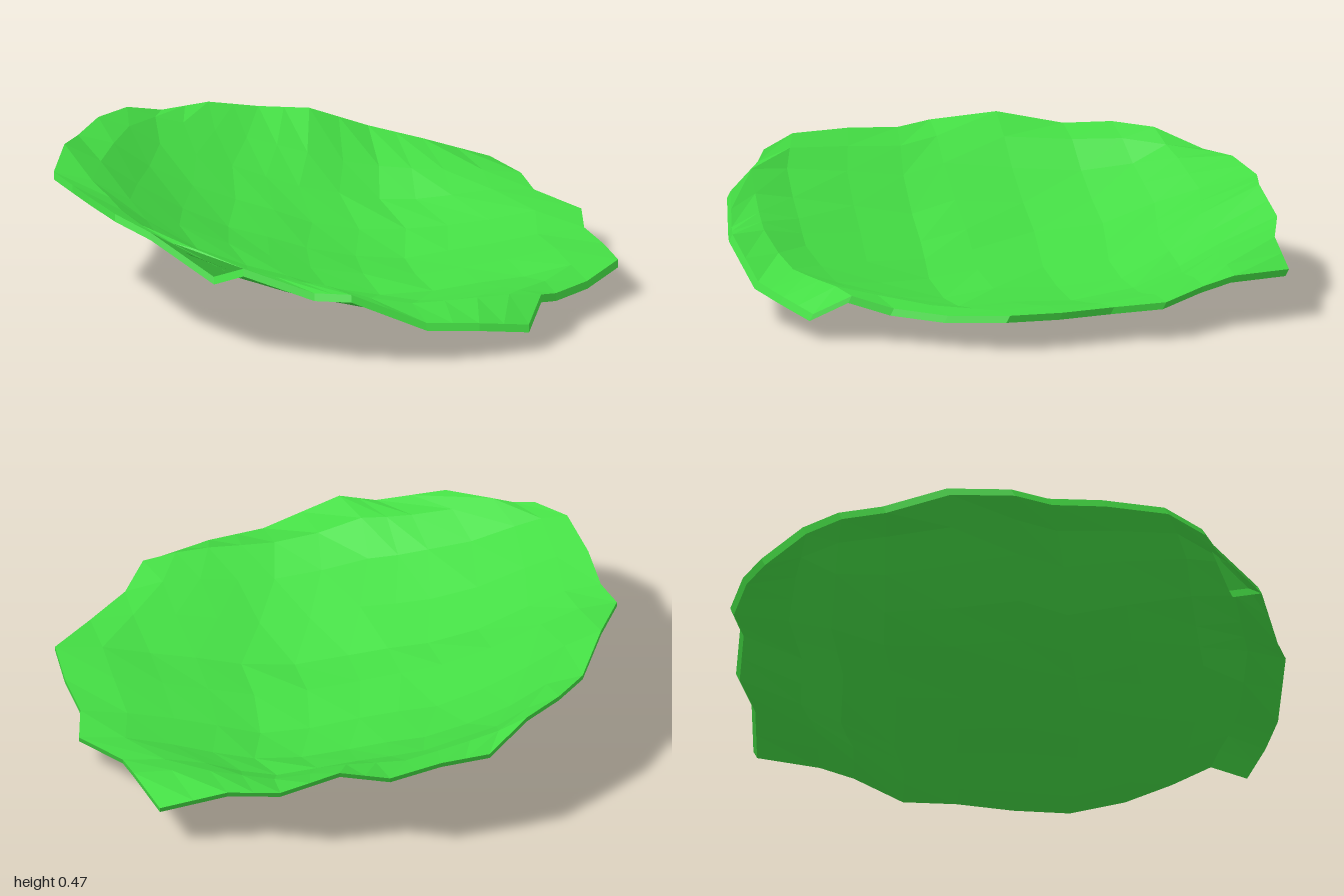
import * as THREE from 'three';

// Rim of the leaf as [x, y, z]: sides run back to front, ends run left to right
const back = [[-.57, .39, -.87], [-.4, .395, -.94], [-.22, .36, -.99], [-.04, .36, -.96], [.17, .285, -.98], [.36, .25, -.93], [.6, .18, -.93]];
const front = [[-.47, .29, .79], [-.37, .35, .89], [-.12, .27, .94], [.01, .27, .965], [.28, .15, .93], [.47, .13, .88], [.65, .1, .81]];
const left = [back[0], [-.7, .45, -.72], [-.81, .455, -.59], [-.89, .44, -.43], [-.95, .48, -.2], [-1, .45, .03],
  [-.94, .44, .16], [-.89, .455, .35], [-.81, .46, .57], [-.69, .43, .7], front[0]];
const right = [back[6], [.7, .185, -.71], [.74, .16, -.59], [.9, .14, -.42], [.9, .13, -.23], [.96, .13, -.03],
  [1, .135, .17], [.88, .12, .37], [.76, .13, .54], [.7, .17, .68], front[6]];

// Lengthwise and crosswise sag of the bowl, as [position, height]
const sagX = [[-1, .45], [-.78, .365], [-.6, .255], [-.5, .21], [-.32, .145], [-.1, .085], [.1, .042], [.2, .027], [.37, .045], [.66, .085], [1, .13]];
const sagZ = [[-1, .24], [-.8, .16], [-.65, .1], [-.45, .035], [-.22, 0], [0, .008], [.25, 0], [.54, .07], [.7, .11], [1, .2]];

function lookup(table, p) {
  let i = 0;
  while (i < table.length - 2 && p > table[i + 1][0]) i++;
  const [a, b] = [table[i], table[i + 1]];
  return THREE.MathUtils.lerp(a[1], b[1], (p - a[0]) / (b[0] - a[0]));
}
const bowl = (x, z) => lookup(sagX, x) + lookup(sagZ, z);

// Point at t (0..1) along a rim line
function along(line, t) {
  const s = t * (line.length - 1);
  const i = Math.min(Math.floor(s), line.length - 2);
  return new THREE.Vector3(...line[i]).lerp(new THREE.Vector3(...line[i + 1]), s - i);
}

// Blend the four rim lines; heights carry only the difference from the bowl
function surfacePoint(u, v) {
  const rim = (line, t) => {
    const p = along(line, t);
    p.y -= bowl(p.x, p.z);
    return p;
  };
  const p = new THREE.Vector3();
  p.addScaledVector(rim(left, v), 1 - u).addScaledVector(rim(right, v), u);
  p.addScaledVector(rim(back, u), 1 - v).addScaledVector(rim(front, u), v);
  p.addScaledVector(rim(back, 0), -(1 - u) * (1 - v)).addScaledVector(rim(back, 1), -u * (1 - v));
  p.addScaledVector(rim(front, 0), -(1 - u) * v).addScaledVector(rim(front, 1), -u * v);
  const edge = Math.max(Math.abs(2 * u - 1), Math.abs(2 * v - 1));
  p.y = p.y * edge ** 5 + bowl(p.x, p.z);
  // Gentle crumple inside the rim
  if (edge < 0.999) p.y += 0.005 * Math.sin(u * 31 + v * 17) * Math.cos(v * 23 - u * 9);
  p.y = Math.max(p.y, 0.025);
  return p;
}

function leafGeometry(cols, rows) {
  const offset = new THREE.Vector3(0, -0.025, 0.013);
  const top = [], bottom = [], positions = [];
  for (let i = 0; i <= rows; i++) {
    top.push([]);
    bottom.push([]);
    for (let j = 0; j <= cols; j++) {
      const p = surfacePoint(j / cols, i / rows);
      top[i].push(p);
      bottom[i].push(p.clone().add(offset));
    }
  }
  const quad = (a, b, c, d) => {
    for (const p of [a, b, c, a, c, d]) positions.push(p.x, p.y, p.z);
  };
  // Upper and lower skins
  for (let i = 0; i < rows; i++) {
    for (let j = 0; j < cols; j++) {
      quad(top[i][j], top[i + 1][j], top[i + 1][j + 1], top[i][j + 1]);
      quad(bottom[i][j], bottom[i][j + 1], bottom[i + 1][j + 1], bottom[i + 1][j]);
    }
  }
  // Rim wall between the skins
  const wall = (i, j, k, l) => quad(top[i][j], bottom[i][j], bottom[k][l], top[k][l]);
  for (let j = 0; j < cols; j++) {
    wall(rows, j, rows, j + 1);
    wall(0, j + 1, 0, j);
  }
  for (let i = 0; i < rows; i++) {
    wall(i, 0, i + 1, 0);
    wall(i + 1, cols, i, cols);
  }
  const geometry = new THREE.BufferGeometry();
  geometry.setAttribute('position', new THREE.Float32BufferAttribute(positions, 3));
  geometry.computeVertexNormals();
  return geometry;
}

export function createModel() {
  const group = new THREE.Group();
  group.name = 'lettuceLeaf';
  const material = new THREE.MeshStandardMaterial({ color: 0x44dd44, flatShading: true });
  const leaf = new THREE.Mesh(leafGeometry(12, 10), material);
  leaf.name = 'leaf';
  group.add(leaf);
  return group;
}
